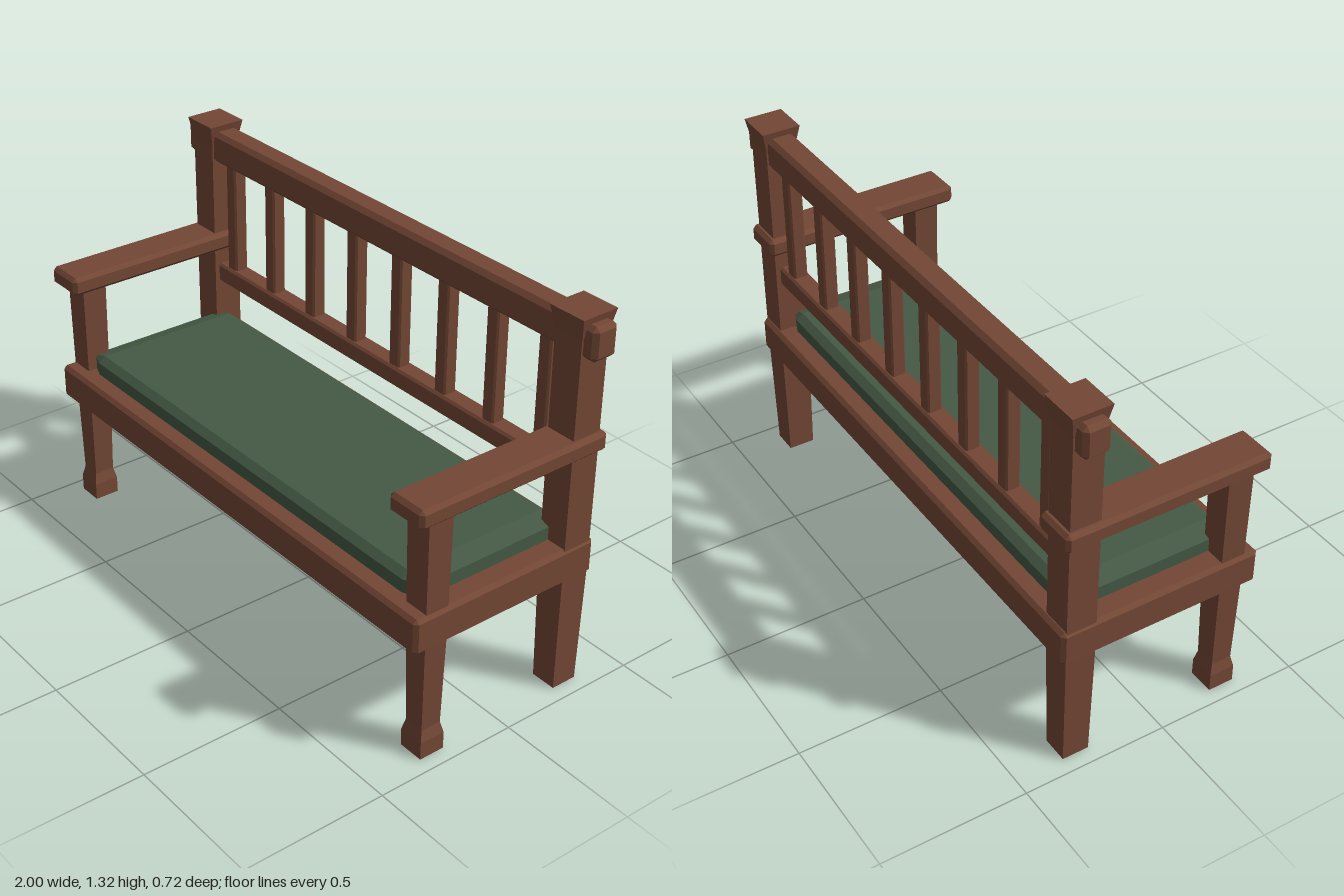
import * as THREE from 'three';
import { ConvexGeometry } from 'three/addons/geometries/ConvexGeometry.js';

const wood = new THREE.MeshStandardMaterial({ color: 0x734735 });
wood.name = 'brown wood';
const fabric = new THREE.MeshStandardMaterial({ color: 0x455945 });
fabric.name = 'green fabric';

// Box with chamfered edges; c holds the chamfer along x, y and z
function chamferBox(w, h, d, c) {
  const half = [w / 2, h / 2, d / 2];
  const points = [];
  for (const sx of [-1, 1]) for (const sy of [-1, 1]) for (const sz of [-1, 1]) {
    const s = [sx, sy, sz];
    for (let face = 0; face < 3; face++) {
      const p = half.map((v, i) => s[i] * (i === face ? v : v - c[i]));
      points.push(new THREE.Vector3(...p));
    }
  }
  return new ConvexGeometry(points);
}

// Square-cornered post through sections [y, half width, half depth]
function loftPost(sections) {
  const pos = [], index = [];
  for (const [y, w, d] of sections) pos.push(w, y, d, w, y, -d, -w, y, -d, -w, y, d);
  for (let r = 0; r < sections.length - 1; r++) {
    for (let i = 0; i < 4; i++) {
      const a = r * 4 + i, b = r * 4 + (i + 1) % 4;
      index.push(a, b, b + 4, a, b + 4, a + 4);
    }
  }
  const t = (sections.length - 1) * 4;
  index.push(t, t + 1, t + 2, t, t + 2, t + 3, 0, 2, 1, 0, 3, 2);
  const geo = new THREE.BufferGeometry();
  geo.setAttribute('position', new THREE.Float32BufferAttribute(pos, 3));
  geo.setIndex(index);
  const flat = geo.toNonIndexed();
  flat.computeVertexNormals();
  return flat;
}

export function createModel() {
  const bench = new THREE.Group();
  bench.name = 'bench';
  const add = (name, geometry, x, y, z, material = wood) => {
    const mesh = new THREE.Mesh(geometry, material);
    mesh.name = name;
    mesh.position.set(x, y, z);
    bench.add(mesh);
  };
  const backZ = -0.287;
  const edge = [0.013, 0.013, 0.013];

  // Seat and cushion
  add('seatFrame', chamferBox(1.916, 0.125, 0.71, edge), 0, 0.468, 0);
  add('cushion', chamferBox(1.76, 0.13, 0.58, [0.065, 0.02, 0.025]), 0, 0.531, 0, fabric);

  // Back rails
  add('topRail', chamferBox(2, 0.113, 0.094, [0.015, 0.015, 0.015]), 0, 1.236, backZ);
  add('lowerRail', chamferBox(1.74, 0.07, 0.07, [0.008, 0.008, 0.008]), 0, 0.752, backZ);

  // Back slats
  const slat = chamferBox(0.052, 0.41, 0.05, [0.006, 0.006, 0.006]);
  for (let i = 0; i < 8; i++) add('slat', slat, -0.782 + i * 0.2234, 0.983, backZ);

  // Legs, posts and armrests on both sides
  const frontLeg = loftPost([
    [0, 0.045, 0.045], [0.06, 0.045, 0.045], [0.1, 0.036, 0.036],
    [0.41, 0.043, 0.041], [0.86, 0.047, 0.045],
  ]);
  const backPost = loftPost([
    [0, 0.045, 0.046], [0.42, 0.052, 0.052], [1.24, 0.054, 0.053], [1.315, 0.068, 0.067],
  ]);
  const arm = chamferBox(0.146, 0.066, 0.72, edge);
  for (const side of [1, -1]) {
    const name = side > 0 ? 'left' : 'right';
    add(name + 'FrontLeg', frontLeg, side * 0.903, 0, 0.265);
    add(name + 'BackPost', backPost, side * 0.9, 0, backZ);
    add(name + 'Armrest', arm, side * 0.9, 0.878, 0);
  }
  return bench;
}
